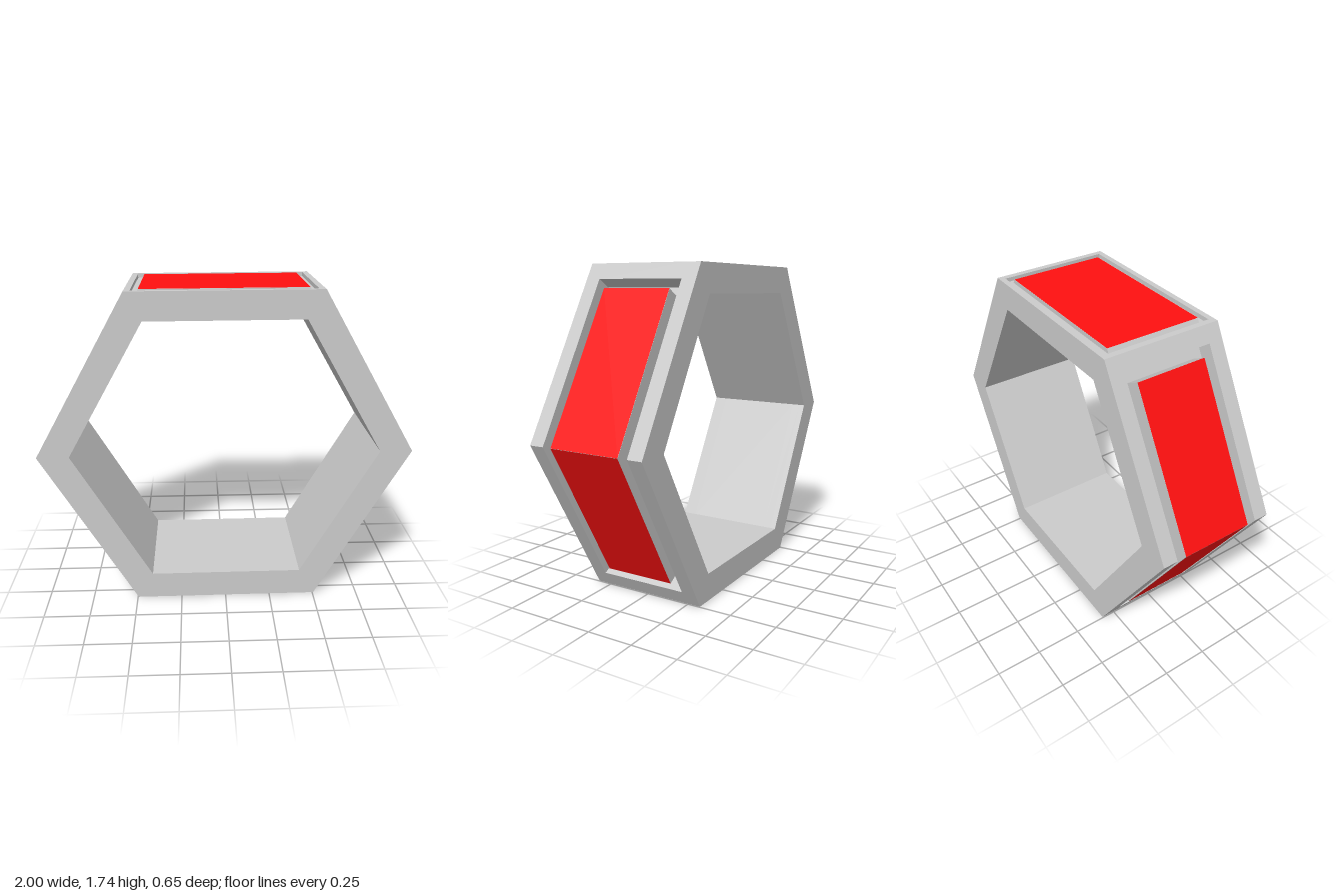
import * as THREE from 'three';

const A = Math.sqrt(3) / 2; // apothem of a hexagon with radius 1
const grey = new THREE.MeshStandardMaterial({ color: 0xcccccc, flatShading: true });
const red = new THREE.MeshStandardMaterial({ color: 0xff1010, flatShading: true });

const hexagon = (r) => Array.from({ length: 6 }, (_, i) =>
  new THREE.Vector2(r * Math.cos(i * Math.PI / 3), r * Math.sin(i * Math.PI / 3)));

// Extrude an outline (with optional hole) between two z positions
function slab(name, points, z0, z1, hole) {
  const shape = new THREE.Shape(points);
  if (hole) shape.holes.push(new THREE.Path(hole));
  const geo = new THREE.ExtrudeGeometry(shape, { depth: z1 - z0, bevelEnabled: false });
  geo.translate(0, 0, z0);
  const mesh = new THREE.Mesh(geo, grey);
  mesh.name = name;
  return mesh;
}

// Upper half of the channel outline on the right: surface point at height y, and the floor point below it
const FLOOR = 0.9, DEPTH = (1 - FLOOR) * A;
const surface = (y) => [1 - y / Math.sqrt(3), y];
const sunk = (y) => [1 - y / Math.sqrt(3) - DEPTH * A, y - DEPTH * 0.5];
const vec = (list) => list.map(([x, y]) => new THREE.Vector2(x, y));

export function createModel() {
  const model = new THREE.Group();
  model.name = 'hexagonalRing';
  const body = new THREE.Group();
  body.name = 'body';
  body.position.y = 0.868;
  body.rotation.z = 0.005;
  model.add(body);

  // Ring outlines: plain, with the top recess, and with the side channels too
  const hole = hexagon(0.828).reverse();
  const recess = [[0.468, A], [0.468, A - 0.022], [-0.468, A - 0.022], [-0.468, A]];
  const end = 0.787;
  const [sx, sy] = surface(end), [fx, fy] = sunk(end);
  const topNotched = vec([[1, 0], [0.5, A], ...recess, [-0.5, A], [-1, 0], [-0.5, -A], [0.5, -A]]);
  const channelled = vec([
    [FLOOR, 0], [fx, fy], [sx, sy], [0.5, A], ...recess, [-0.5, A], [-sx, sy], [-fx, fy],
    [-FLOOR, 0], [-fx, -fy], [-sx, -sy], [-0.5, -A], [0.5, -A], [sx, -sy], [fx, -fy],
  ]);
  body.add(slab('ringCore', channelled, -0.245, 0.245, hole));
  for (const [side, s] of [['front', 1], ['back', -1]]) {
    const layer = (name, pts, a, b) =>
      body.add(slab(side + name, pts, Math.min(s * a, s * b), Math.max(s * a, s * b), hole));
    layer('Rim', topNotched, 0.245, 0.295);
    layer('Face', hexagon(1), 0.295, 0.325);
  }

  // Top block with slightly sloping ends
  body.add(slab('topBlock', vec([[0.43, A], [-0.43, A], [-0.443, A - 0.022], [0.443, A - 0.022]]), -0.262, 0.262));

  // A red panel lying on one side of the hexagon
  function panel(name, angle, length, along, width) {
    const geo = new THREE.PlaneGeometry(length, width).rotateX(-Math.PI / 2);
    geo.translate(along, A + 0.0015, 0).rotateZ(angle);
    const mesh = new THREE.Mesh(geo, red);
    mesh.name = name;
    body.add(mesh);
  }
  panel('topPanel', 0, 0.86, 0, 0.524);

  // Bent side blocks, each with two panels meeting at the corner
  const top = 0.74, length = top / A;
  for (const [side, s] of [['left', 1], ['right', -1]]) {
    const [ax, ay] = surface(top), [bx, by] = sunk(top);
    const outline = [[1, 0], [ax, ay], [bx, by], [FLOOR, 0], [bx, -by], [ax, -ay]];
    body.add(slab(side + 'Block', vec(outline.map(([x, y]) => [s * x, y])), -0.195, 0.195));
    const shift = s * (0.5 - length / 2);
    panel(side + 'UpperPanel', -s * Math.PI / 3, length, shift, 0.39);
    panel(side + 'LowerPanel', -s * 2 * Math.PI / 3, length, -shift, 0.39);
  }
  return model;
}
